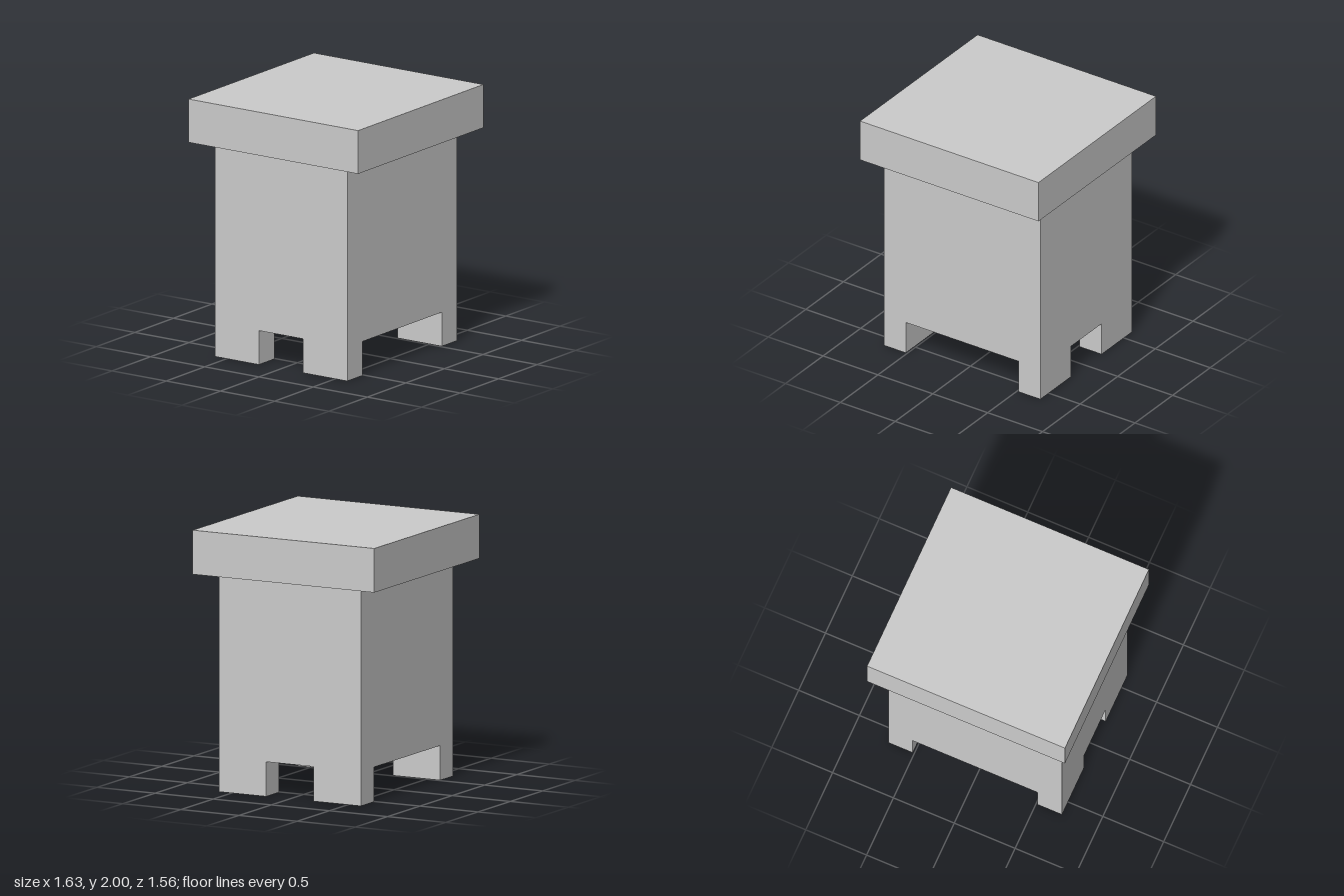
import * as THREE from 'three';

const material = new THREE.MeshStandardMaterial({ color: 0xcccccc, flatShading: true });

// Box given by its size, its centre in x and z, and its underside height
function box(name, w, h, d, x, bottom, z) {
  const mesh = new THREE.Mesh(new THREE.BoxGeometry(w, h, d), material);
  mesh.name = name;
  mesh.position.set(x, bottom + h / 2, z);
  return mesh;
}

export function createModel() {
  const group = new THREE.Group();
  group.name = 'stool';

  const width = 1.426, depth = 1.222;
  const legHeight = 0.265, lidBottom = 1.663;
  const legWidth = 0.2, legDepth = 0.407;

  // Overhanging top slab and the solid body under it
  group.add(box('top', 1.626, 2 - lidBottom, 1.563, 0, lidBottom, 0));
  group.add(box('body', width, lidBottom - legHeight, depth, 0, legHeight, 0));

  // Four corner legs, flush with the body sides
  for (const [sx, sideName] of [[1, 'Left'], [-1, 'Right']]) {
    for (const [sz, endName] of [[1, 'front'], [-1, 'back']]) {
      group.add(box(endName + sideName + 'Leg', legWidth, legHeight, legDepth,
        sx * (width - legWidth) / 2, 0, sz * (depth - legDepth) / 2));
    }
  }
  return group;
}
